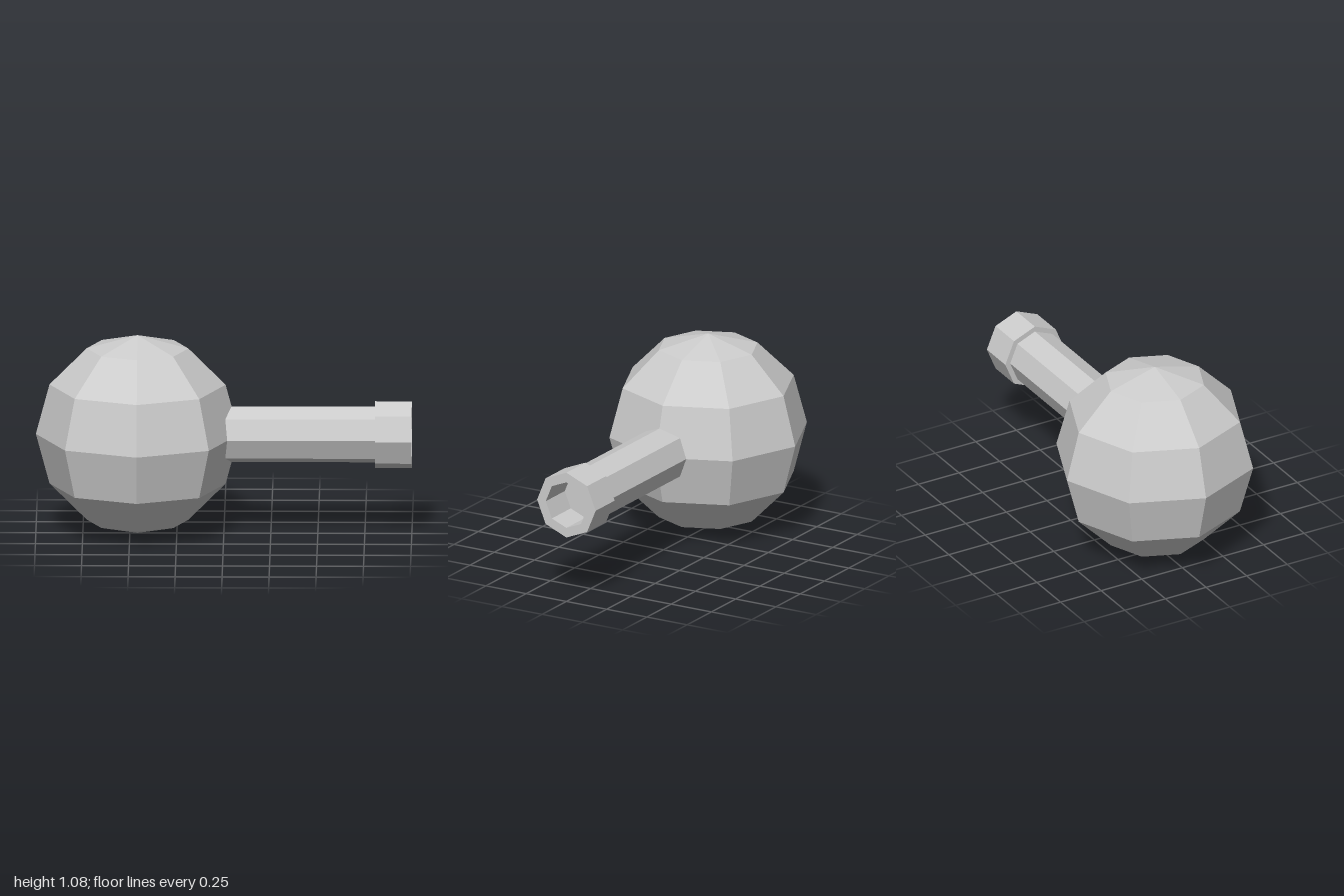
import * as THREE from 'three';

const SIDES = 8;
const R = 0.541; // body radius, also the height of the tube axis

export function createModel() {
  const group = new THREE.Group();
  const material = new THREE.MeshStandardMaterial({ color: 0xcccccc, flatShading: true });

  const add = (name, geometry, x) => {
    const mesh = new THREE.Mesh(geometry, material);
    mesh.name = name;
    mesh.position.set(x, R, 0);
    group.add(mesh);
    return mesh;
  };

  // Turned part along +x, from [x, radius] pairs
  const turned = (name, profile) => {
    const points = profile.map(([x, r]) => new THREE.Vector2(r, x));
    add(name, new THREE.LatheGeometry(points, SIDES), 0).rotation.z = -Math.PI / 2;
  };

  // Faceted ball
  add('body', new THREE.SphereGeometry(R, SIDES, 6), R - 1);

  // Octagonal tube, its root sunk into the ball
  turned('barrel', [[-0.1, 0], [-0.1, 0.152], [0.805, 0.152], [0.805, 0]]);

  // Wider collar with a recessed mouth
  turned('muzzle', [
    [0.805, 0.152], [0.805, 0.182], [1, 0.182], [1, 0.128], [0.805, 0.128],
  ]);

  return group;
}
